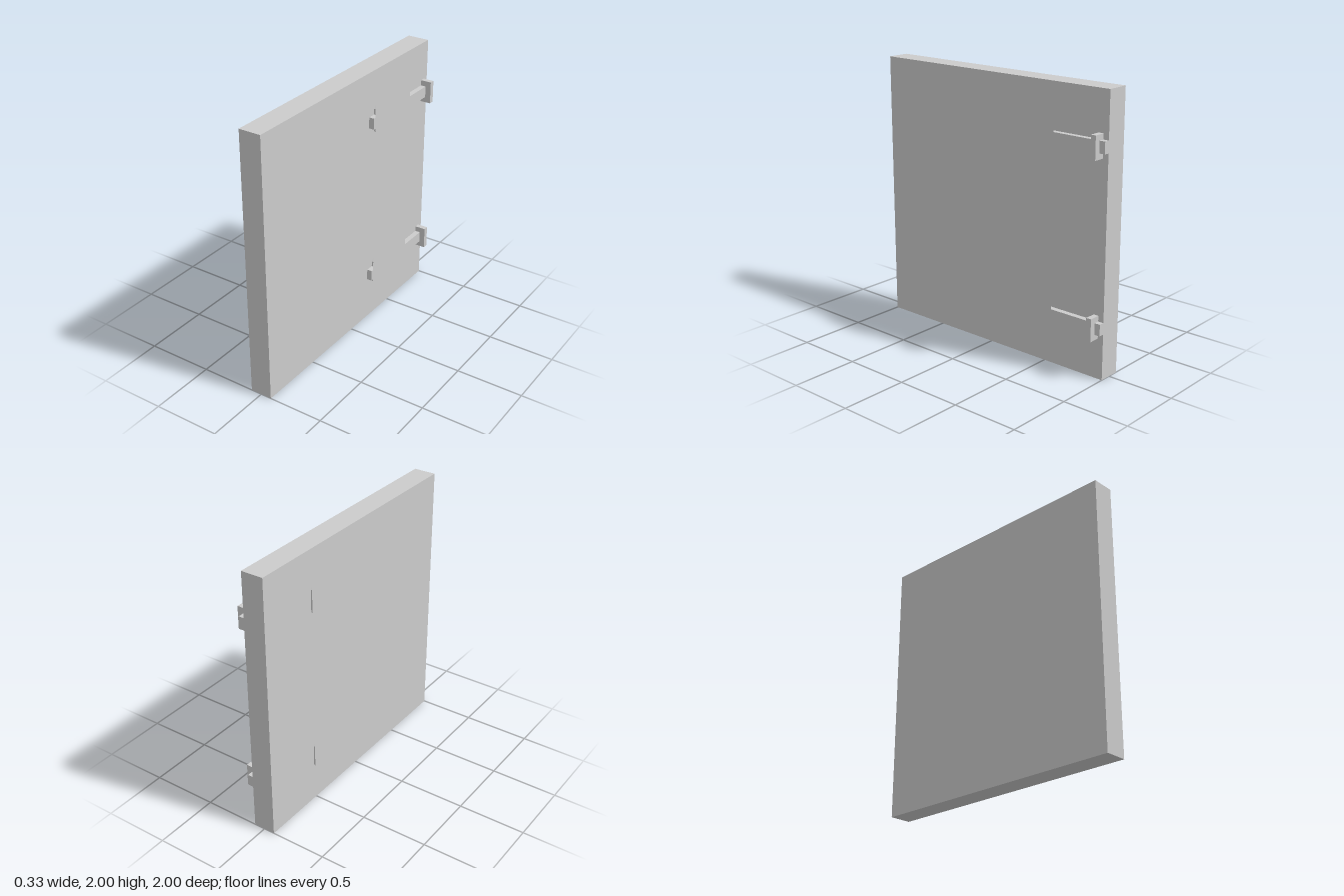
import * as THREE from 'three';

const material = new THREE.MeshStandardMaterial({ color: 0xcccccc, flatShading: true });
const thinMaterial = new THREE.MeshStandardMaterial({ color: 0xcccccc, side: THREE.DoubleSide });

const HALF = 0.083;   // half the thickness of the door panel
const OUTER = 0.166;  // outer face of the fittings

function box(name, parent, [x0, x1], [y0, y1], [z0, z1]) {
  const mesh = new THREE.Mesh(new THREE.BoxGeometry(x1 - x0, y1 - y0, z1 - z0), material);
  mesh.position.set((x0 + x1) / 2, (y0 + y1) / 2, (z0 + z1) / 2);
  mesh.name = name;
  parent.add(mesh);
}

// Square with cut corners, drawn around the origin
function chamferedSquare(h, c) {
  const k = h - c;
  return new THREE.Shape([
    [h, -k], [h, k], [k, h], [-k, h], [-h, k], [-h, -k], [-k, -h], [k, -h],
  ].map(([x, y]) => new THREE.Vector2(x, y)));
}

// Chamfered stem with a thin square plate on its end; side is +1 or -1 in x
function createKnob(side) {
  const knob = new THREE.Group();
  knob.name = side > 0 ? 'leftKnob' : 'rightKnob';
  const stem = new THREE.Mesh(
    new THREE.ExtrudeGeometry(chamferedSquare(0.123, 0.04), { depth: OUTER - HALF, bevelEnabled: false }),
    material);
  stem.name = 'knobStem';
  stem.position.z = HALF;
  const plate = new THREE.Mesh(new THREE.PlaneGeometry(0.455, 0.455), thinMaterial);
  plate.name = 'knobPlate';
  plate.position.set(-0.007 * side, 0, OUTER + 0.0005);
  knob.add(stem, plate);
  knob.rotation.y = side * Math.PI / 2;
  knob.position.z = -0.397;
  return knob;
}

// One latch: knobs on both faces, sliding bar and its keeper on the left face
function createLatch(name, y) {
  const latch = new THREE.Group();
  latch.name = name;
  latch.position.y = y;
  latch.add(createKnob(1), createKnob(-1));
  box('latchBar', latch, [HALF, 0.123], [-0.042, 0.042], [-1, -0.212]);
  box('barKeeper', latch, [HALF, OUTER], [-0.083, 0.083], [-0.957, -0.918]);
  return latch;
}

export function createModel() {
  const model = new THREE.Group();
  model.name = 'latchedDoor';
  box('doorPanel', model, [-HALF, HALF], [0, 2], [-1, 1]);
  model.add(createLatch('upperLatch', 1.627), createLatch('lowerLatch', 0.377));
  return model;
}
